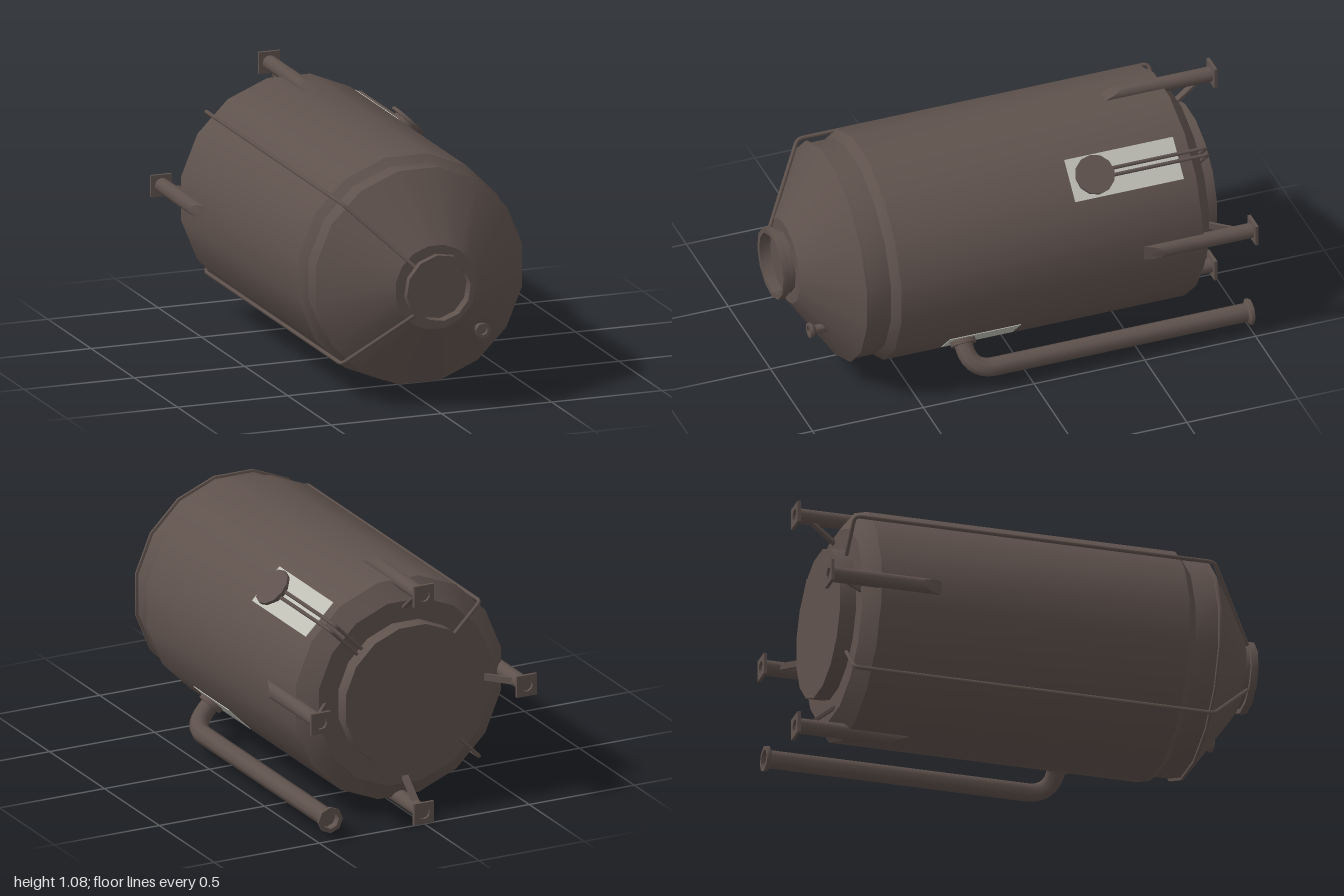
import * as THREE from 'three';
import { toCreasedNormals } from 'three/addons/utils/BufferGeometryUtils.js';

const AXIS_Y = 0.5375; // height of the tank axis
const DEG = Math.PI / 180;

export function createModel() {
  const brown = new THREE.MeshStandardMaterial({ color: 0x5f524d });
  brown.name = 'brown metal';
  const pale = new THREE.MeshStandardMaterial({ color: 0xbebeb5 });
  pale.name = 'pale grey panel';

  const model = new THREE.Group();
  const vessel = new THREE.Group();
  vessel.name = 'vessel';
  vessel.position.y = AXIS_Y;
  model.add(vessel);

  function add(parent, name, geometry, material = brown) {
    const mesh = new THREE.Mesh(geometry, material);
    mesh.name = name;
    parent.add(mesh);
    return mesh;
  }

  // Group whose local +x points away from the tank axis at the given angle
  function radialGroup(name, degrees) {
    const g = new THREE.Group();
    g.name = name;
    g.rotation.z = degrees * DEG;
    vessel.add(g);
    return g;
  }

  // Turned part around z; profile is [radius, z] from back to front
  function turned(profile, sides, start = 0, crease = 28) {
    const pts = profile.map(([r, z]) => new THREE.Vector2(r, z));
    const g = new THREE.LatheGeometry(pts, sides, start);
    g.rotateX(Math.PI / 2);
    return toCreasedNormals(g, crease * DEG);
  }

  // Cylinder along local x between two distances from the axis
  function radialDisc(from, to, r0, r1, sides, z) {
    const g = new THREE.CylinderGeometry(r1, r0, to - from, sides);
    g.rotateZ(-Math.PI / 2);
    g.translate((from + to) / 2, 0, z);
    return toCreasedNormals(g, 50 * DEG);
  }

  // Pipe through [x, z] points at a sideways offset, with rounded corners
  function pipe(points, radius, bend, segments, sides, y = 0) {
    const p = points.map(([x, z]) => new THREE.Vector3(x, y, z));
    const path = new THREE.CurvePath();
    let last = p[0];
    for (let i = 1; i < p.length - 1; i++) {
      const before = p[i].clone().add(p[i - 1].clone().sub(p[i]).setLength(bend));
      const after = p[i].clone().add(p[i + 1].clone().sub(p[i]).setLength(bend));
      path.add(new THREE.LineCurve3(last, before));
      path.add(new THREE.QuadraticBezierCurve3(before, p[i], after));
      last = after;
    }
    path.add(new THREE.LineCurve3(last, p[p.length - 1]));
    return new THREE.TubeGeometry(path, segments, radius, sides);
  }

  // Sixteen-sided tank shell, flat side up
  const k = 1 / Math.cos(Math.PI / 16);
  const shell = [
    [0, -0.825], [0.41, -0.825], [0.488, -0.765], [0.488, 0.595], [0.456, 0.63],
    [0.456, 0.73], [0.467, 0.732], [0.467, 0.742], [0.182, 0.938], [0, 0.938],
  ].map(([r, z]) => [r * k, z]);
  add(vessel, 'tankShell', turned(shell, 16, Math.PI / 16));

  // Back cover
  add(vessel, 'backCover',
    turned([[0, -0.895], [0.324, -0.895], [0.324, -0.82], [0, -0.82]], 16, Math.PI / 16));

  // Front nozzle with a recessed mouth
  add(vessel, 'frontNozzle', turned([
    [0.137, 0.93], [0.137, 0.97], [0.157, 0.97], [0.157, 1], [0.134, 1], [0.134, 0.95], [0, 0.95],
  ], 12, 6 * DEG, 35));

  // Small drain stub on the front cone
  const stub = add(vessel, 'drainStub', turned([
    [0.019, 0.81], [0.019, 0.885], [0.033, 0.9], [0.033, 0.914], [0.019, 0.914], [0.019, 0.895], [0, 0.895],
  ], 10, 0, 40));
  stub.position.set(0.225, -0.22, 0);

  // Four legs with square foot plates and braces
  const plate = new THREE.Shape();
  const h = 0.0475;
  plate.moveTo(-h, -h).lineTo(h, -h).lineTo(h, h).lineTo(-h, h).closePath();
  plate.holes.push(new THREE.Path().absarc(0, 0, 0.027, 0, Math.PI * 2, true));
  const plateGeo = new THREE.ExtrudeGeometry(plate, { depth: 0.014, bevelEnabled: false, curveSegments: 5 });
  plateGeo.translate(0.49, 0, -1);

  // Leg tube: the front end is cut on a slant so it blends into the shell
  const legGeo = new THREE.CylinderGeometry(0.033, 0.033, 1, 12);
  legGeo.rotateX(Math.PI / 2);
  const pos = legGeo.attributes.position;
  for (let i = 0; i < pos.count; i++) {
    const x = pos.getX(i);
    pos.setZ(i, pos.getZ(i) > 0 ? -0.59 + (0.033 - x) * 2.7 : -0.988);
    pos.setX(i, x + 0.488);
  }
  const legTube = toCreasedNormals(legGeo, 40 * DEG);

  for (let i = 0; i < 4; i++) {
    const leg = radialGroup('leg', i * 90);
    add(leg, 'legTube', legTube);
    add(leg, 'footPlate', plateGeo);
    const brace = add(leg, 'legBrace', new THREE.BoxGeometry(0.012, 0.03, 0.17));
    brace.position.set(0.425, 0, -0.875);
    brace.rotation.y = Math.atan2(-0.09, 0.11);
  }

  // Large outlet pipe on the lower left, with its collar, bell end and panel
  const outlet = radialGroup('outlet', -45);
  add(outlet, 'outletPipe', pipe([[0.47, 0.265], [0.629, 0.265], [0.629, -0.985]], 0.041, 0.11, 64, 8));
  add(outlet, 'outletCollar', radialDisc(0.475, 0.512, 0.057, 0.057, 10, 0.265));
  const bell = add(outlet, 'outletFlange', turned([
    [0, -0.965], [0.039, -0.965], [0.039, -1], [0.058, -1], [0.058, -0.986], [0.04, -0.975],
  ], 8, 0, 50));
  bell.position.x = 0.629;
  add(outlet, 'outletPanel',
    new THREE.BoxGeometry(0.006, 0.142, 0.32).translate(0.488, 0, 0.18), pale);

  // Hatch on the upper left with a pair of thin lines running to the back
  const hatch = radialGroup('hatch', 45);
  add(hatch, 'hatchNeck', radialDisc(0.47, 0.513, 0.062, 0.062, 12, -0.325));
  add(hatch, 'hatchLid', radialDisc(0.513, 0.527, 0.086, 0.086, 12, -0.325));
  add(hatch, 'hatchPanel',
    new THREE.BoxGeometry(0.006, 0.186, 0.49).translate(0.488, 0, -0.465), pale);
  for (const side of [-1, 1]) {
    add(hatch, 'hatchLine',
      pipe([[0.504, -0.33], [0.504, -0.84], [0.3, -0.84]], 0.008, 0.025, 70, 6, side * 0.015));
  }

  // Long thin lines along the right side, from the back cover to the nozzle
  for (const angle of [135, 225]) {
    const line = radialGroup('longLine', angle);
    add(line, 'longLinePipe',
      pipe([[0.3, -0.84], [0.497, -0.84], [0.497, 0.745], [0.148, 0.965]], 0.009, 0.025, 180, 6));
  }

  return model;
}
